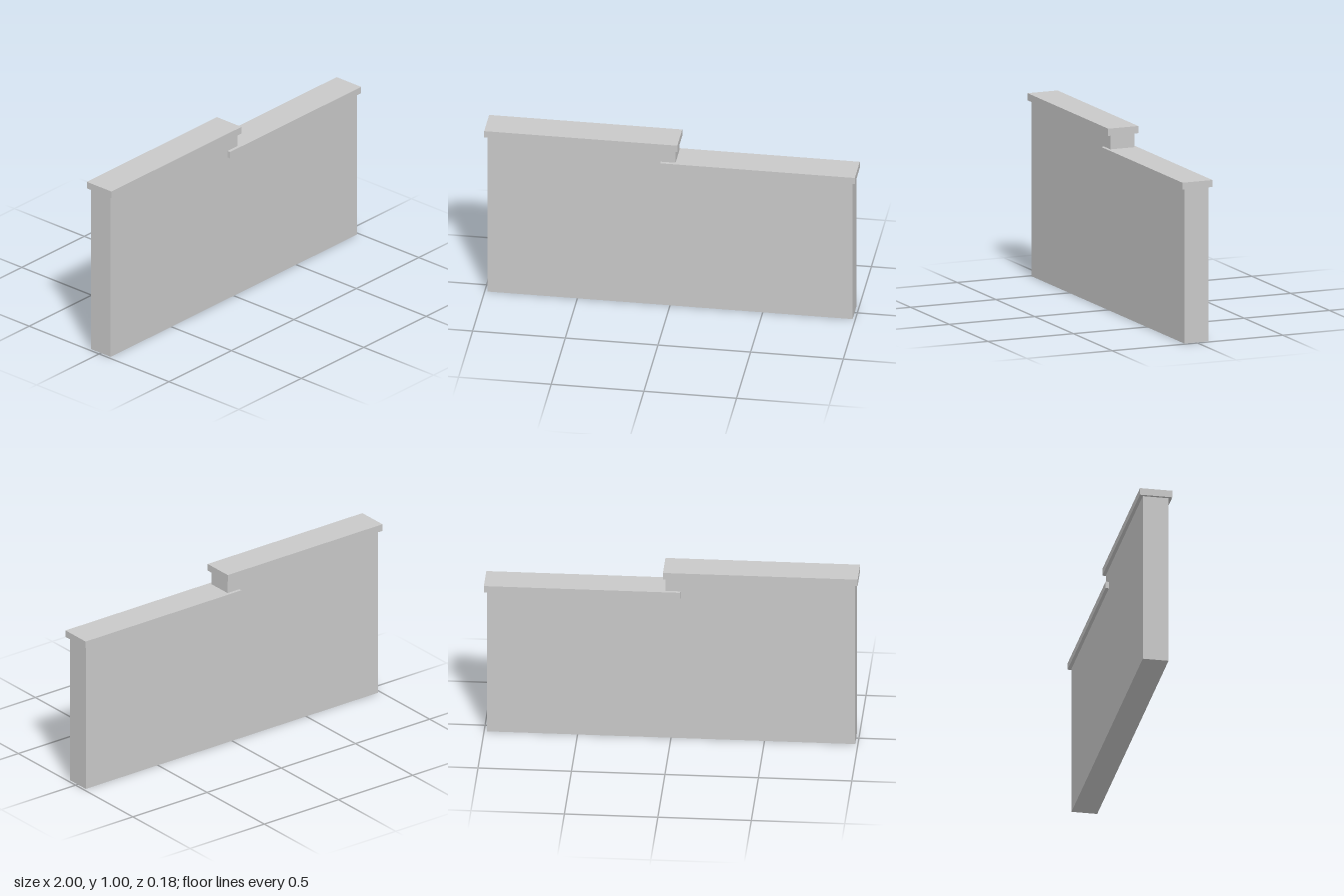
import * as THREE from 'three';

export function createModel() {
  const group = new THREE.Group();
  group.name = 'steppedWall';
  const concrete = new THREE.MeshStandardMaterial({ color: 0xc8c8c8 });
  concrete.name = 'light grey concrete';

  // Wall body: one stepped outline, extruded through its thickness
  const outline = new THREE.Shape([
    [-0.985, 0], [0.985, 0], [0.985, 0.86], [0.03, 0.86], [0.03, 0.957], [-0.985, 0.957],
  ].map(([x, y]) => new THREE.Vector2(x, y)));
  const bodyGeometry = new THREE.ExtrudeGeometry(outline, { depth: 0.14, bevelEnabled: false });
  bodyGeometry.translate(0, 0, -0.07);
  const body = new THREE.Mesh(bodyGeometry, concrete);
  body.name = 'wallBody';
  group.add(body);

  // Coping slabs overhanging both steps
  const addCoping = (name, x0, x1, y0, y1) => {
    const slab = new THREE.Mesh(new THREE.BoxGeometry(x1 - x0, y1 - y0, 0.176), concrete);
    slab.position.set((x0 + x1) / 2, (y0 + y1) / 2, 0);
    slab.name = name;
    group.add(slab);
  };
  addCoping('upperCoping', -1, 0.042, 0.957, 0.996);
  addCoping('lowerCoping', -0.05, 1, 0.842, 0.88);

  return group;
}
